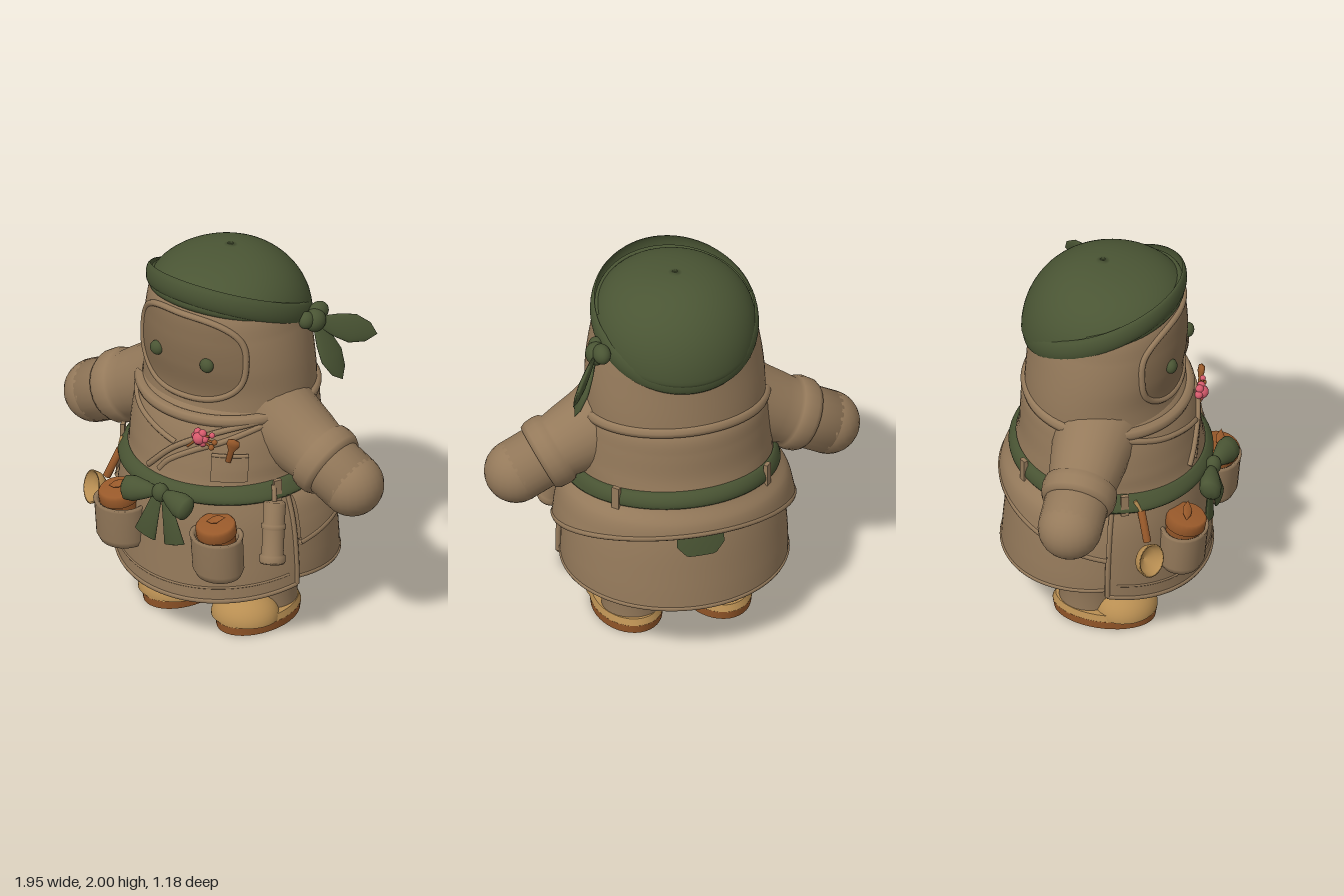
import * as THREE from 'three';
import { ParametricGeometry } from 'three/addons/geometries/ParametricGeometry.js';

const mat = (name, color) => {
  const m = new THREE.MeshStandardMaterial({ color, side: THREE.DoubleSide });
  m.name = name;
  return m;
};
const V = (x, y, z) => new THREE.Vector3(x, y, z);
const PI = Math.PI;

// Section table: rows of height, half width, front z, back z
const table = rows => new THREE.CubicInterpolant(
  rows.map(r => r[0]), rows.flatMap(r => r.slice(1)), 3);
const HEAD = table([[1.15, 0.46, 0.33, -0.48], [1.35, 0.46, 0.31, -0.47], [1.5, 0.45, 0.33, -0.46],
  [1.65, 0.425, 0.335, -0.45], [1.8, 0.385, 0.31, -0.42], [1.9, 0.3, 0.24, -0.34]]);
const JACKET = table([[0.5, 0.625, 0.47, -0.62], [0.7, 0.6, 0.46, -0.6], [0.8, 0.57, 0.45, -0.585],
  [0.88, 0.51, 0.425, -0.54], [1.0, 0.5, 0.405, -0.505], [1.15, 0.485, 0.375, -0.495],
  [1.25, 0.465, 0.33, -0.485], [1.3, 0.44, 0.29, -0.46]]);
const SKIRT = table([[0.25, 0.575, 0.445, -0.595], [0.45, 0.575, 0.44, -0.58],
  [0.7, 0.55, 0.43, -0.55], [0.9, 0.49, 0.405, -0.5]]);

// Point on a section table at angle a (0 = front, PI/2 = left), pushed out by off
function on(t, a, y, off = 0) {
  const [rx, zf, zb] = t.evaluate(y);
  return V((rx + off) * Math.sin(a), y, (zf + zb) / 2 + ((zf - zb) / 2 + off) * Math.cos(a));
}
const onX = (t, x, y, off = 0) => on(t, Math.asin(x / t.evaluate(y)[0]), y, off);
const depth = a => -0.07 + 0.53 * Math.cos(a);

export function createModel() {
  const root = new THREE.Group();
  const tan = mat('tan cloth', 0x957a5b), shade = mat('face tan', 0x866d50);
  const green = mat('green cloth', 0x4a5534), orange = mat('orange wood', 0x98592a);
  const gold = mat('golden straw', 0xb88e52), pink = mat('pink petal', 0xd65a6c);

  const add = (name, geo, m, p, scale) => {
    const mesh = new THREE.Mesh(geo, m);
    mesh.name = name;
    if (p) mesh.position.copy(p);
    if (scale) mesh.scale.copy(scale);
    root.add(mesh);
    return mesh;
  };
  const ball = (name, m, p, rx, ry = rx, rz = rx) =>
    add(name, new THREE.SphereGeometry(1, 24, 16), m, p, V(rx, ry, rz));
  const param = (name, m, f, nu, nv) =>
    add(name, new ParametricGeometry((u, v, out) => out.copy(f(u, v)), nu, nv), m);
  // Cloth layer between angles a0..a1 and heights lo(a)..hi(a)
  const shell = (name, m, t, a0, a1, lo, hi, off, nu = 64, nv = 14) => param(name, m, (u, v) => {
    const a = a0 + (a1 - a0) * u;
    return on(t, a, THREE.MathUtils.lerp(lo(a), hi(a), v), typeof off === 'number' ? off : off(v));
  }, nu, nv);
  // Rounded seam following f(t) -> point
  const seam = (name, m, f, r, closed = false, n = 48) => {
    const pts = Array.from({ length: n }, (_, i) => f(i / (closed ? n : n - 1)));
    return add(name, new THREE.TubeGeometry(new THREE.CatmullRomCurve3(pts, closed), n * 2, r, 8, closed), m);
  };
  // Turned profile of [radius, 0..1 along], stretched from p to q, flattened along the normal
  const turned = (name, m, profile, p, q, normal = V(0, 0, 1), flat = 1) => {
    const mesh = add(name, new THREE.LatheGeometry(profile.map(c => new THREE.Vector2(...c)), 24), m, p);
    const y = q.clone().sub(p), len = y.length();
    y.normalize();
    const z = normal.clone().addScaledVector(y, -normal.dot(y)).normalize();
    mesh.quaternion.setFromRotationMatrix(new THREE.Matrix4().makeBasis(y.clone().cross(z), y, z));
    mesh.scale.set(1, len, flat);
    return mesh;
  };
  const rod = (name, m, p, q, r) => turned(name, m, [[0, 0], [r, 0], [r, 1], [0, 1]], p, q);

  // Head and robe
  shell('head', tan, HEAD, 0, 2 * PI, () => 1.15, () => 1.9, 0, 64, 24);
  shell('jacket', tan, JACKET, 0, 2 * PI, () => 0.82, () => 1.3, 0, 64, 20);
  seam('collarRoll', tan, t => on(JACKET, t * 2 * PI, 1.255 - 0.035 * Math.cos(t * 2 * PI), -0.005), 0.032, true);

  // Face panel with padded rim
  const facePoint = (t, k, off) => {
    const c = Math.cos(t), s = Math.sin(t), e = 0.75;
    return onX(HEAD, k * 0.315 * Math.sign(c) * Math.abs(c) ** e,
      1.545 + k * 0.225 * Math.sign(s) * Math.abs(s) ** e, off);
  };
  param('face', shade, (u, v) => facePoint(v * 2 * PI, Math.max(u, 0.001), 0.004), 12, 64);
  seam('faceRim', tan, t => facePoint(t * 2 * PI, 1.03, 0), 0.017, true, 64);
  for (const s of [-1, 1]) ball('eye', green, onX(HEAD, s * 0.155, 1.53, 0.008), 0.038, 0.038, 0.03);

  // Crossed lapels
  const lapel = (name, pts, off) => {
    const c = new THREE.CatmullRomCurve3(pts.map(([x, y]) => V(x, y, 0)));
    seam(name, tan, t => { const p = c.getPoint(t); return onX(JACKET, p.x, p.y, off); }, 0.016);
  };
  lapel('upperLapel', [[0.42, 1.24], [0.22, 1.17], [0.02, 1.06], [-0.14, 0.91]], 0.004);
  lapel('upperLapelEdge', [[0.4, 1.2], [0.27, 1.13], [0.12, 1.06], [-0.02, 0.97], [-0.07, 0.91]], -0.007);
  lapel('underLapel', [[-0.44, 1.22], [-0.3, 1.16], [-0.14, 1.12], [0.02, 1.08]], -0.002);

  // Skirt, apron and jacket tail
  const skirtHem = a => 0.353 + 0.07 * depth(a);
  const apronHem = a => 0.35 - 0.225 * depth(a);
  const tailHem = a => 0.596 - 0.257 * depth(a);
  const edge = 1.25;
  shell('skirt', tan, SKIRT, edge - 0.1, 2 * PI - edge + 0.1, skirtHem, () => 0.88, 0);
  seam('skirtHem', tan, t => { const a = edge + t * (2 * PI - 2 * edge); return on(SKIRT, a, skirtHem(a), -0.005); }, 0.012);
  shell('apron', tan, SKIRT, -edge, edge, apronHem, () => 0.88, 0.016);
  seam('apronHem', tan, t => { const a = (2 * t - 1) * edge; return on(SKIRT, a, apronHem(a), 0.01); }, 0.014);
  seam('apronStitch', tan, t => { const a = (2 * t - 1) * edge * 0.93; return on(SKIRT, a, apronHem(a) + 0.075, 0.014); }, 0.007);
  for (const s of [-1, 1])
    seam('apronEdge', tan, t => on(SKIRT, s * edge, THREE.MathUtils.lerp(apronHem(edge), 0.84, t), 0.012), 0.014);
  shell('jacketTail', tan, JACKET, edge, 2 * PI - edge, tailHem, () => 0.88, 0.004);
  seam('jacketTailHem', tan, t => { const a = edge + t * (2 * PI - 2 * edge); return on(JACKET, a, tailHem(a), -0.008); }, 0.018);
  shell('backPatch', green, SKIRT, PI - 0.22, PI + 0.22, a => 0.61 + Math.max(0, Math.abs(a - PI) - 0.13) * 0.6, () => 0.74, 0.01, 16, 4);
  ball('underside', tan, V(0, 0.5, -0.08), 0.52, 0.2, 0.46);

  // Belt, loops and bow
  const beltY = a => 0.878 - 0.078 * depth(a);
  shell('belt', green, JACKET, 0, 2 * PI, a => beltY(a) - 0.044, a => beltY(a) + 0.044,
    v => 0.004 + 0.024 * Math.sin(PI * v) ** 0.6, 96, 8);
  for (const a of [-1.12, 1.12, -2.3, 2.3]) {
    const loop = add('beltLoop', new THREE.BoxGeometry(0.04, 0.12, 0.022), tan, on(JACKET, a, beltY(a), 0.026));
    loop.rotation.y = a;
  }
  ball('bowKnot', green, V(0, 0.83, 0.49), 0.045, 0.05, 0.04);
  for (const s of [-1, 1]) {
    turned('bowLoop', green, [[0, 0], [0.025, 0.05], [0.045, 0.3], [0.065, 0.65], [0.062, 0.9], [0.035, 0.99], [0, 1]],
      V(s * 0.02, 0.83, 0.49), V(s * 0.21, 0.81, 0.53), V(0, 0.5, 1), 0.8);
    turned('bowTail', green, [[0, 0], [0.025, 0], [0.045, 0.5], [0.066, 0.97], [0, 1]],
      V(s * 0.02, 0.82, 0.48), V(s * 0.095, 0.56, 0.495), V(0, 0, 1), 0.25);
  }

  // Headscarf
  const domeBase = z => 1.735 + 0.3 * z;
  param('scarfDome', green, (u, v) => {
    const a = u * 2 * PI, p = -0.3 + v * (PI / 2 + 0.3);
    const r = 0.41 * Math.max(Math.cos(p), 0.0001) ** 0.9, s = Math.sin(p);
    const base = domeBase(-0.085 + 0.41 * Math.cos(a));
    const y = s > 0 ? base + (2 - base) * s : base + 0.1 * s;
    return V(r * Math.sin(a), y, -0.085 + r * Math.cos(a));
  }, 64, 28);
  param('scarfBand', green, (u, v) => {
    const a = u * 2 * PI, z = 0.4 * Math.cos(a), r = 0.385 + 0.022 * Math.sin(PI * v) ** 0.5;
    return V((r + 0.018) * Math.sin(a), 1.675 + 0.41 * z + v * 0.125, -0.075 + (r + 0.005) * Math.cos(a));
  }, 64, 10);
  seam('scarfFold', green, t => {
    const a = (2 * t - 1) * 1.5, z = -0.085 + 0.385 * Math.cos(a);
    return V(0.39 * Math.sin(a), domeBase(z) + 0.075, z);
  }, 0.014);
  const knot = V(0.445, 1.665, -0.2);
  ball('scarfKnot', green, knot, 0.055, 0.06, 0.06);
  ball('scarfKnotFold', green, V(0.43, 1.69, -0.25), 0.045, 0.05, 0.06);
  ball('scarfKnotFold', green, V(0.43, 1.68, -0.15), 0.04, 0.045, 0.045);
  const leaf = [[0, 0], [0.025, 0.05], [0.06, 0.35], [0.075, 0.6], [0.05, 0.85], [0, 1]];
  turned('scarfTail', green, leaf, knot, V(0.64, 1.54, -0.46), V(0.75, 0.3, 0.6), 0.25);
  turned('scarfTail', green, leaf, knot, V(0.575, 1.345, -0.26), V(1, 0.3, 0.1), 0.3);

  for (const s of [-1, 1]) {
    // Sleeve and mitten hand
    const along = t => V(s * (0.42 + 0.894 * t), 1.12 - 0.447 * t, -0.03);
    turned('sleeve', tan, [[0.23, 0], [0.2, 0.3], [0.185, 0.55], [0.172, 0.72], [0.186, 0.75], [0.192, 0.83],
      [0.188, 0.94], [0.175, 1], [0.15, 1]], along(-0.12), along(0.31));
    rod('arm', tan, along(0.1), along(0.44), 0.162);
    ball('hand', tan, along(0.44), 0.162);

    // Leg and slipper
    add('leg', new THREE.LatheGeometry([[0.155, 0.05], [0.155, 0.13], [0.168, 0.22], [0.185, 0.32], [0.21, 0.44]]
      .map(c => new THREE.Vector2(...c)), 32), tan, V(s * 0.225, 0, -0.09));
    add('sole', new THREE.CylinderGeometry(1, 0.97, 0.045, 40), orange, V(s * 0.232, 0.0225, -0.01), V(0.178, 1, 0.268));
    add('slipperRim', new THREE.CylinderGeometry(0.94, 1, 0.035, 40), gold, V(s * 0.232, 0.06, -0.01), V(0.178, 1, 0.268));
    add('slipperToe', new THREE.SphereGeometry(1, 32, 12, 0, 2 * PI, 0, PI / 2), gold, V(s * 0.232, 0.05, 0.095), V(0.178, 0.13, 0.163));

    // Apron pouch with lidded jar
    const pouch = turned('pouch', tan, [[0, 0], [0.085, 0.01], [0.12, 0.07], [0.138, 0.22], [0.14, 0.92], [0.145, 0.98], [0.132, 1], [0.115, 0.95], [0.11, 0.7]],
      V(s * 0.305, 0.42, 0.405), V(s * 0.305, 0.67, 0.425), V(0, 0, 1), 0.85);
    pouch.name = s < 0 ? 'rightPouch' : 'leftPouch';
    turned('jar', orange, [[0, 0], [0.095, 0], [0.095, 0.66], [0.103, 0.68], [0.103, 0.92], [0.092, 1], [0, 1]],
      V(s * 0.305, 0.55, 0.405), V(s * 0.31, 0.735, 0.44));
    turned('jarLeaf', orange, [[0, 0], [0.022, 0.3], [0.026, 0.6], [0, 1]],
      V(s * 0.31 - 0.05, 0.735, 0.45), V(s * 0.31 + 0.055, 0.78, 0.43), V(0, 1, 0.5), 0.35);
  }

  // Ladle hanging at the right hip
  rod('ladleHandle', orange, V(-0.45, 0.82, 0.24), V(-0.5, 0.67, 0.285), 0.02);
  rod('ladleCord', gold, V(-0.46, 0.88, 0.21), V(-0.455, 0.8, 0.25), 0.01);
  turned('ladleBowl', gold, [[0, 0], [0.045, 0.12], [0.075, 0.5], [0.087, 1], [0.076, 1], [0.06, 0.55], [0, 0.25]],
    V(-0.53, 0.585, 0.26), V(-0.565, 0.605, 0.325));

  // Bamboo flask hanging at the left hip
  turned('flask', tan, [[0, 0], [0.06, 0], [0.066, 0.03], [0.066, 0.13], [0.056, 0.15], [0.056, 0.55], [0.063, 0.57],
    [0.063, 0.63], [0.055, 0.65], [0.058, 0.96], [0.05, 1], [0, 1]], V(0.55, 0.52, 0.285), V(0.5, 0.82, 0.2));
  rod('flaskCord', tan, V(0.5, 0.81, 0.2), V(0.48, 0.9, 0.18), 0.012);

  // Chest pocket, wooden scoop and blossom sprig
  shell('chestPocket', tan, JACKET, 0.46, 0.84, () => 0.92, () => 1.06, 0.012, 12, 6);
  seam('chestPocketHem', tan, t => on(JACKET, 0.46 + 0.38 * t, 1.06, 0.01), 0.01, false, 8);
  turned('scoop', orange, [[0, 0], [0.014, 0.02], [0.016, 0.5], [0.034, 0.75], [0.03, 0.92], [0, 1]],
    V(0.3, 1.03, 0.325), V(0.35, 1.18, 0.335), V(0.5, 0, 1), 0.5);
  const bloom = V(0.165, 1.15, 0.385);
  ball('blossomCentre', pink, bloom, 0.034);
  for (let i = 0; i < 6; i++) {
    const a = i * PI / 3;
    ball('petal', pink, bloom.clone().add(V(0.03 * Math.cos(a), 0.03 * Math.sin(a), -0.008)), 0.021);
  }
  rod('sprigStem', orange, V(0.09, 1.08, 0.385), bloom, 0.007);
  for (const [x, y] of [[0.235, 1.18], [0.25, 1.145], [0.23, 1.11]]) {
    rod('sprigTwig', orange, bloom, V(x, y, 0.37), 0.006);
    ball('sprigBud', y > 1.17 ? pink : orange, V(x, y, 0.37), 0.015);
  }
  return root;
}
